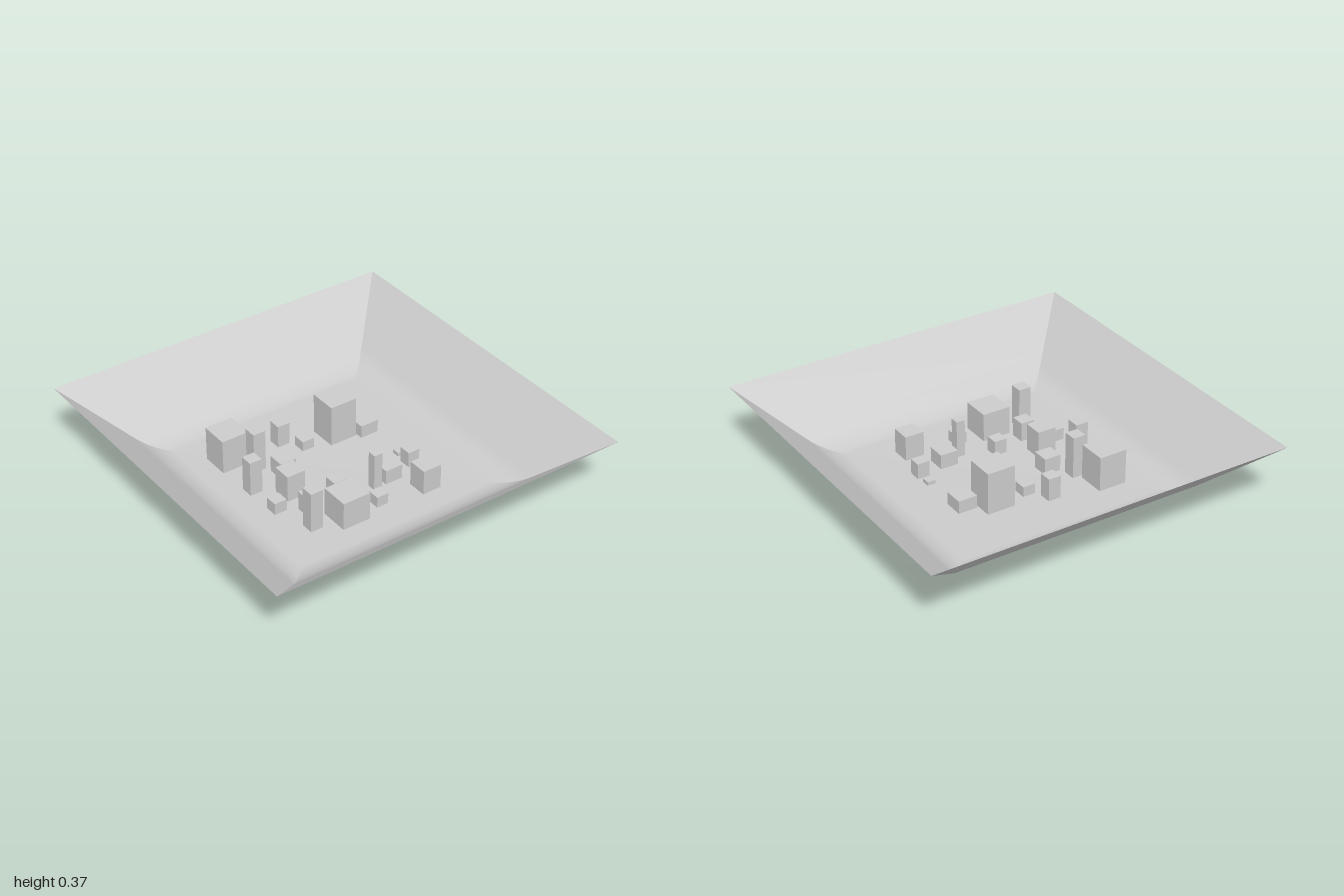
import * as THREE from 'three';

const material = new THREE.MeshStandardMaterial({ color: 0xcccccc });
const sheet = new THREE.MeshStandardMaterial({ color: 0xcccccc, side: THREE.DoubleSide });

// Tray profile from the middle of the floor to the rim: [distance from centre, height]
const profile = [
  [0, 0.05], [0.57, 0.05], [0.6, 0.054], [0.635, 0.063], [0.67, 0.079],
  [0.7, 0.098], [0.725, 0.12], [0.76, 0.152], [1, 0.37],
];

// Blocks: [x, z, width, bottom, top]
const blocks = [
  [-0.39, -0.345, 0.155, 0.01, 0.24],
  [-0.305, -0.215, 0.07, 0.045, 0.28],
  [-0.083, -0.328, 0.07, 0.045, 0.175],
  [0, -0.227, 0.07, 0.045, 0.105],
  [0.19, -0.227, 0.155, 0.048, 0.28],
  [0.33, -0.168, 0.105, 0.035, 0.12],
  [-0.425, -0.067, 0.07, 0.045, 0.245],
  [-0.215, -0.104, 0.092, 0.045, 0.14],
  [-0.286, 0.061, 0.105, 0.045, 0.197],
  [-0.415, 0.131, 0.07, 0.045, 0.115],
  [-0.29, 0.23, 0.078, 0.045, 0.155],
  [-0.094, 0.179, 0.07, 0.045, 0.13],
  [0.088, 0.259, 0.048, 0.045, 0.255],
  [0.19, 0.23, 0.1, 0.035, 0.13],
  [0.355, 0.104, 0.045, 0.025, 0.07],
  [0.353, 0.195, 0.067, 0.045, 0.135],
  [-0.35, 0.345, 0.07, 0.045, 0.275],
  [-0.168, 0.377, 0.158, 0, 0.205],
  [0.024, 0.374, 0.067, 0.045, 0.11],
  [0.294, 0.4, 0.107, 0.025, 0.187],
];

// One quarter of the tray: smooth along the profile, creased at the corners
function quarterGeometry() {
  const positions = [];
  const indices = [];
  profile.forEach(([r, y], i) => {
    positions.push(-r, y, r, r, y, r);
    if (i === 0) return;
    const a = 2 * i - 2;
    indices.push(a, a + 2, a + 3);
    if (i > 1) indices.push(a, a + 3, a + 1);
  });
  const geometry = new THREE.BufferGeometry();
  geometry.setAttribute('position', new THREE.Float32BufferAttribute(positions, 3));
  geometry.setIndex(indices);
  geometry.computeVertexNormals();
  return geometry;
}

export function createModel() {
  const model = new THREE.Group();
  model.name = 'trayWithBlocks';

  // Thin square tray with sloping walls
  const tray = new THREE.Group();
  tray.name = 'tray';
  const quarter = quarterGeometry();
  for (let i = 0; i < 4; i++) {
    const side = new THREE.Mesh(quarter, sheet);
    side.name = 'traySide';
    side.rotation.y = (i * Math.PI) / 2;
    tray.add(side);
  }
  model.add(tray);

  // Square blocks standing in the floor, some poking out below
  const cluster = new THREE.Group();
  cluster.name = 'blocks';
  for (const [x, z, width, bottom, top] of blocks) {
    const block = new THREE.Mesh(new THREE.BoxGeometry(width, top - bottom, width), material);
    block.name = 'block';
    block.position.set(x, (top + bottom) / 2, z);
    cluster.add(block);
  }
  model.add(cluster);

  return model;
}
